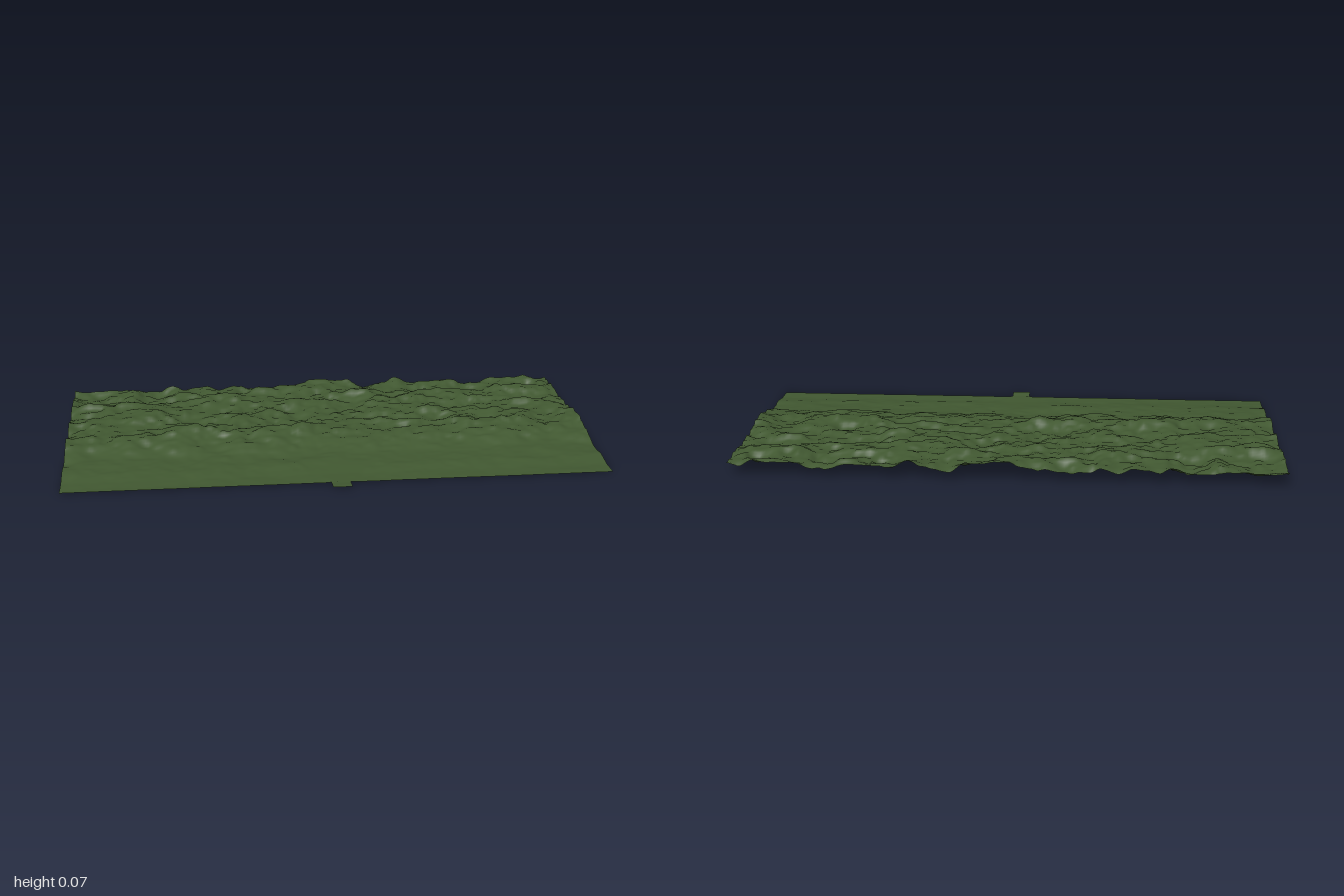
import * as THREE from 'three';

const BACK = -0.535, FRONT = 0.48;

// seeded lattice noise, -1..1
function lattice(i, j, seed) {
  let h = Math.imul(i, 374761393) ^ Math.imul(j, 668265263) ^ Math.imul(seed, 974711);
  h = Math.imul(h ^ (h >>> 13), 1274126177);
  return ((h ^ (h >>> 16)) >>> 0) / 2147483648 - 1;
}
function noise(x, y, seed) {
  const i = Math.floor(x), j = Math.floor(y);
  const u = THREE.MathUtils.smoothstep(x - i, 0, 1), v = THREE.MathUtils.smoothstep(y - j, 0, 1);
  const a = THREE.MathUtils.lerp(lattice(i, j, seed), lattice(i + 1, j, seed), u);
  const b = THREE.MathUtils.lerp(lattice(i, j + 1, seed), lattice(i + 1, j + 1, seed), u);
  return THREE.MathUtils.lerp(a, b, v);
}

// rows of z, mean height, bump strength from back to front
const profile = [
  [-0.54, 0.054, 0.03], [0.04, 0.053, 0.027], [0.1, 0.045, 0.021], [0.2, 0.022, 0.008],
  [0.33, 0.018, 0.007], [0.4, 0.009, 0.004], [0.45, 0.008, 0.003], [0.48, 0.008, 0.0005],
];
function heightAt(x, z) {
  let k = 0;
  while (k < profile.length - 2 && z > profile[k + 1][0]) k++;
  const [z0, h0, b0] = profile[k], [z1, h1, b1] = profile[k + 1];
  const t = THREE.MathUtils.clamp((z - z0) / (z1 - z0), 0, 1);
  const n = 0.6 * noise(x * 9, z * 13, 1) + 0.35 * noise(x * 20, z * 26, 2) + 0.2 * noise(x * 42, z * 50, 3);
  const y = THREE.MathUtils.lerp(h0, h1, t) + THREE.MathUtils.lerp(b0, b1, t) * n;
  // path fanning out from the landing flattens the slope
  const half = 0.03 + Math.max(0, FRONT - z) * 0.55;
  const path = (1 - THREE.MathUtils.smoothstep(Math.abs(x), half, half + 0.02))
    * THREE.MathUtils.smoothstep(z, 0.26, 0.34);
  const pathY = 0.011 + Math.max(0, 0.4 - z) * 0.07;
  return THREE.MathUtils.clamp(THREE.MathUtils.lerp(y, pathY, path * 0.8), 0.002, 0.077);
}

export function createModel() {
  const group = new THREE.Group();
  group.name = 'hillside';
  const grass = new THREE.MeshStandardMaterial({ color: 0x415831, side: THREE.DoubleSide });
  grass.name = 'grass green';

  // rolling ground sheet
  const ground = new THREE.PlaneGeometry(2, FRONT - BACK, 200, 102);
  ground.rotateX(-Math.PI / 2).translate(0, 0, (FRONT + BACK) / 2);
  const p = ground.attributes.position;
  for (let i = 0; i < p.count; i++) p.setY(i, heightAt(p.getX(i), p.getZ(i)));
  ground.computeVertexNormals();
  const terrain = new THREE.Mesh(ground, grass);
  terrain.name = 'terrain';
  group.add(terrain);

  // small landing at the front edge, dipping toward the ground
  const tab = new THREE.PlaneGeometry(0.07, 0.075, 4, 8);
  tab.rotateX(-Math.PI / 2).translate(0, 0, 0.4975);
  const q = tab.attributes.position;
  for (let i = 0; i < q.count; i++) {
    q.setY(i, 0.012 - 0.004 * (1 - THREE.MathUtils.smoothstep(q.getZ(i), 0.48, 0.52)));
  }
  tab.computeVertexNormals();
  const landing = new THREE.Mesh(tab, grass);
  landing.name = 'landing';
  group.add(landing);
  return group;
}
